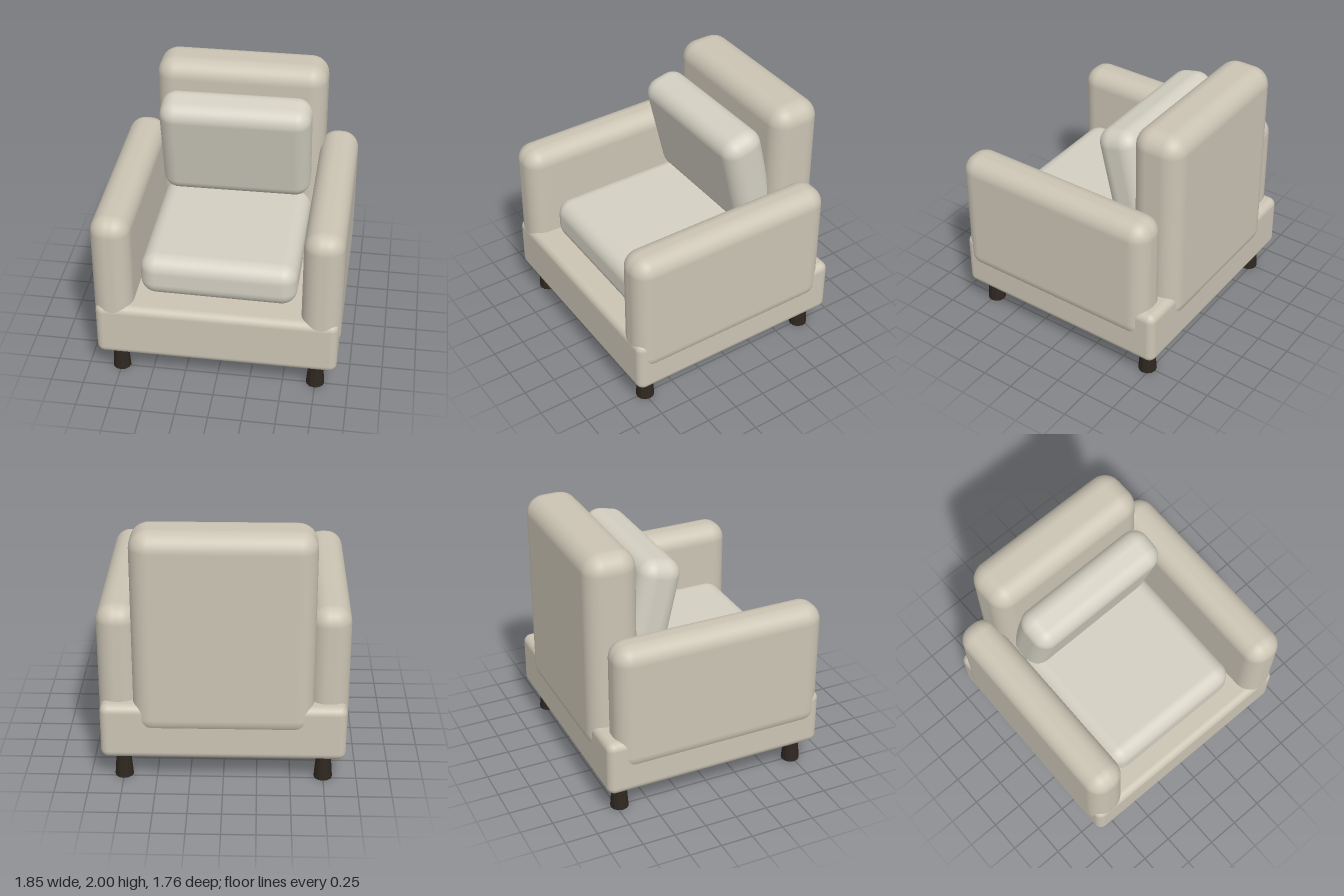
import * as THREE from 'three';
import { RoundedBoxGeometry } from 'three/addons/geometries/RoundedBoxGeometry.js';

const fabric = new THREE.MeshStandardMaterial({ color: 0xcbc4b4 });
const cushionFabric = new THREE.MeshStandardMaterial({ color: 0xd3cfc2 });
const wood = new THREE.MeshStandardMaterial({ color: 0x2e2620, flatShading: true });

// Softly rounded upholstered block given by its size and centre
function pad(name, size, centre, radius, material) {
  const mesh = new THREE.Mesh(new RoundedBoxGeometry(...size, 4, radius), material);
  mesh.name = name;
  mesh.position.set(...centre);
  return mesh;
}

export function createModel() {
  const chair = new THREE.Group();
  chair.name = 'armchair';

  // Frame and backrest
  chair.add(pad('base', [1.82, 0.44, 1.74], [0, 0.43, 0.01], 0.06, fabric));
  chair.add(pad('backrest', [1.33, 1.59, 0.4], [0, 1.205, -0.68], 0.14, fabric));

  // Seat cushion, lying very slightly askew
  const seat = pad('seatCushion', [1.18, 0.335, 1.2], [-0.005, 0.818, 0.12], 0.12, cushionFabric);
  seat.rotation.set(0, -0.005, -0.006);
  chair.add(seat);

  // Loose back cushion, top tipped forward
  const cushion = pad('backCushion', [1.165, 0.856, 0.33], [-0.007, 1.41, -0.348], 0.12, cushionFabric);
  cushion.rotation.set(0.227, 0.01, 0, 'YXZ');
  chair.add(cushion);

  for (const side of [1, -1]) {
    const label = side > 0 ? 'left' : 'right';

    // Armrest
    chair.add(pad(label + 'Armrest', [0.298, 1.015, 1.657], [side * 0.777, 0.8875, 0.05], 0.13, fabric));

    // Legs, flaring toward the floor
    for (const [end, z] of [['Front', 0.74], ['Back', -0.72]]) {
      const leg = new THREE.Mesh(new THREE.CylinderGeometry(0.052, 0.07, 0.23, 12), wood);
      leg.name = label + end + 'Leg';
      leg.position.set(side * 0.75, 0.115, z);
      chair.add(leg);
    }
  }
  return chair;
}
